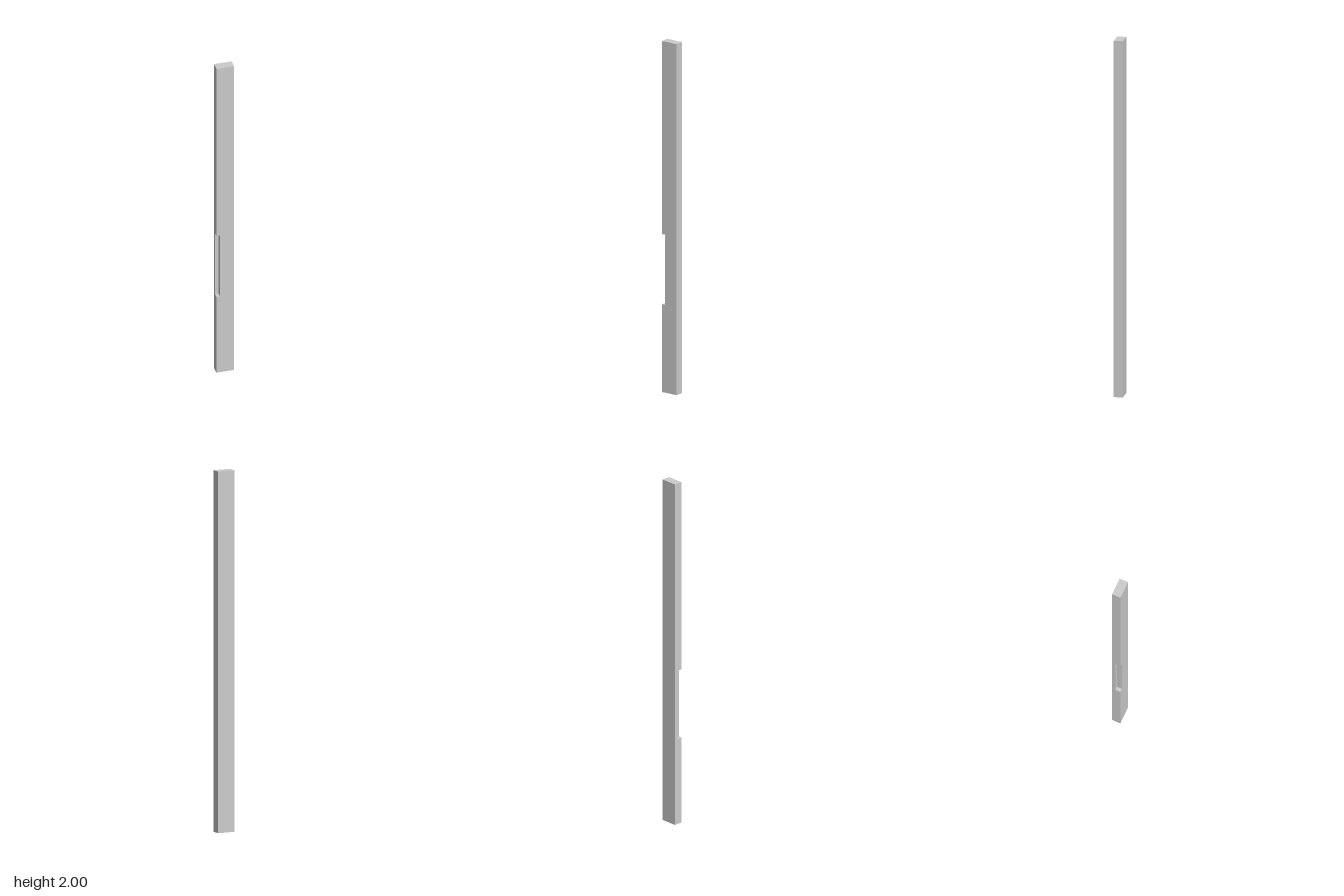
import * as THREE from 'three';

const W = 0.1, H = 2, D = 0.05;                         // post size
const notch = { bottom: 0.5, top: 0.9, width: 0.02, depth: 0.03 };

export function createModel() {
  const group = new THREE.Group();
  group.name = 'notchedPost';
  const material = new THREE.MeshStandardMaterial({ color: 0xcccccc, flatShading: true });

  // Front layer: outline with a rectangular notch in the -x edge
  const l = -W / 2, r = W / 2, n = l + notch.width;
  const outline = new THREE.Shape([
    [l, 0], [r, 0], [r, H], [l, H],
    [l, notch.top], [n, notch.top], [n, notch.bottom], [l, notch.bottom],
  ].map(([x, y]) => new THREE.Vector2(x, y)));
  const front = new THREE.Mesh(
    new THREE.ExtrudeGeometry(outline, { depth: notch.depth, bevelEnabled: false }), material);
  front.name = 'notchedFront';
  front.position.z = D / 2 - notch.depth;
  group.add(front);

  // Back layer: full slab that closes the notch from behind
  const backDepth = D - notch.depth;
  const back = new THREE.Mesh(new THREE.BoxGeometry(W, H, backDepth), material);
  back.name = 'solidBack';
  back.position.set(0, H / 2, -D / 2 + backDepth / 2);
  group.add(back);

  return group;
}
